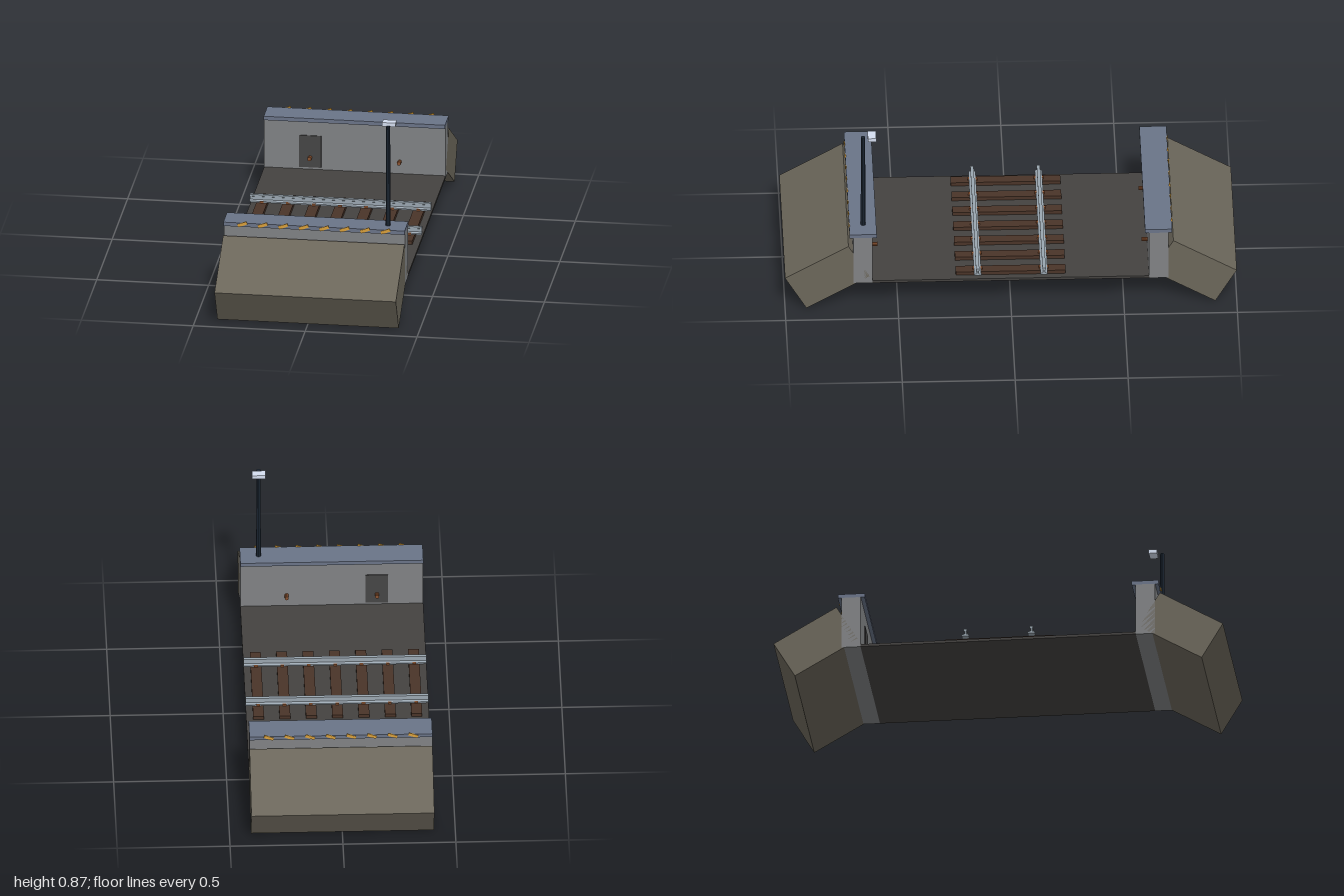
import * as THREE from 'three';

const LENGTH = 0.81; // along the track
const mat = (color) => new THREE.MeshStandardMaterial({ color, flatShading: true });
const M = {
  earth: mat(0x6b665a), wall: mat(0x808284), cap: mat(0x6a7488), bed: mat(0x444240),
  wood: mat(0x4a3428), steel: mat(0x9aa6b0), pole: mat(0x222e3c), lamp: mat(0xd4def0),
  stripe: mat(0xd9a03c), door: mat(0x454545), rust: mat(0x8a5230),
};

function add(parent, name, geometry, material, x, y, z) {
  const mesh = new THREE.Mesh(geometry, material);
  mesh.name = name;
  mesh.position.set(x, y, z);
  parent.add(mesh);
  return mesh;
}
const box = (parent, name, material, w, h, d, x, y, z) =>
  add(parent, name, new THREE.BoxGeometry(w, h, d), material, x, y, z);

// Retaining wall with coping, earth bank, stripes, door and pegs; s = +1 front, -1 back
function buildSide(s) {
  const g = new THREE.Group();
  g.name = s > 0 ? 'frontWall' : 'backWall';
  box(g, 'wall', M.wall, LENGTH, 0.242, 0.086, 0, 0.249, s * 0.655);
  box(g, 'coping', M.cap, LENGTH, 0.018, 0.12, 0, 0.378, s * 0.654);
  const bank = box(g, 'earthBank', M.earth, LENGTH, 0.187, 0.325, 0, 0.1625, s * 0.8125);
  bank.rotation.x = s * 0.53;
  for (let i = 0; i < 8; i++) {
    const stripe = box(g, 'hazardStripe', M.stripe, 0.043, 0.014, 0.005, -0.32 + i * 0.0914, 0.381, s * 0.714);
    stripe.rotation.z = 0.36;
  }
  box(g, 'door', M.door, 0.1, 0.15, 0.006, -0.2, 0.225, s * 0.611);
  for (const x of [-0.2, 0.2]) {
    const peg = add(g, 'wallPeg', new THREE.CylinderGeometry(0.009, 0.009, 0.036, 10), M.rust, x, 0.197, s * 0.603);
    peg.rotation.x = Math.PI / 2;
  }
  return g;
}

// Flat-bottomed rail section extruded along x
function railGeometry() {
  const half = [[0.016, 0], [0.016, 0.006], [0.004, 0.01], [0.004, 0.024], [0.0075, 0.026], [0.0075, 0.034]];
  const points = [...half, ...half.map(([x, y]) => [-x, y]).reverse()];
  const shape = new THREE.Shape(points.map(([x, y]) => new THREE.Vector2(x, y)));
  return new THREE.ExtrudeGeometry(shape, { depth: LENGTH, bevelEnabled: false })
    .translate(0, 0, -LENGTH / 2).rotateY(Math.PI / 2);
}

function buildTrack() {
  const g = new THREE.Group();
  g.name = 'track';
  for (let i = -3; i <= 3; i++) {
    const x = i * 0.1167;
    box(g, 'sleeper', M.wood, 0.048, 0.024, 0.486, x, 0.145, 0);
    for (const z of [-0.147, 0.147])
      for (const side of [-1, 1])
        box(g, 'railClip', M.rust, 0.016, 0.008, 0.008, x, 0.161, z + side * 0.018);
  }
  for (const z of [-0.147, 0.147]) add(g, 'rail', railGeometry(), M.steel, 0, 0.157, z);
  return g;
}

// Lamp post standing on the front coping
function buildLampPost() {
  const g = new THREE.Group();
  g.name = 'lampPost';
  add(g, 'post', new THREE.CylinderGeometry(0.009, 0.011, 0.47, 10), M.pole, 0.323, 0.62, 0.652);
  box(g, 'lampHead', M.lamp, 0.06, 0.018, 0.037, 0.323, 0.856, 0.613);
  return g;
}

export function createModel() {
  const model = new THREE.Group();
  model.name = 'railwayCutting';
  box(model, 'trackBed', M.bed, LENGTH, 0.012, 1.226, 0, 0.134, 0);
  model.add(buildSide(1), buildSide(-1), buildTrack(), buildLampPost());
  return model;
}
